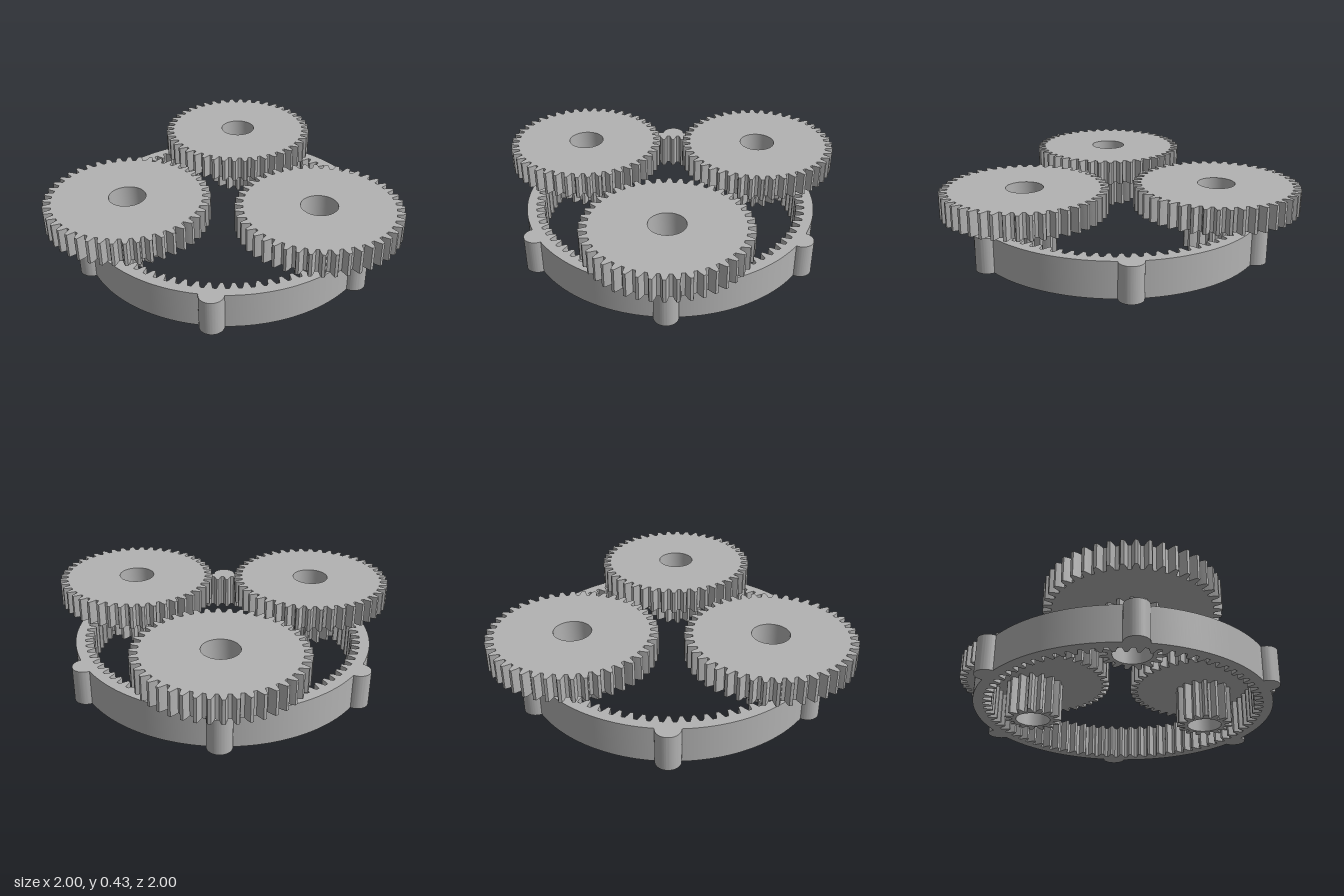
import * as THREE from 'three';
import { toCreasedNormals } from 'three/addons/utils/BufferGeometryUtils.js';

const RING_Z = -0.075;   // ring axis
const RING_R = 0.855;
const LUG_R = 0.068;
const ORBIT = 0.615;     // distance of the gear axes from the ring axis

// Closed toothed outline; steps are [fraction of a tooth pitch, radius].
function toothPoints(count, steps) {
  const pts = [];
  const pitch = (Math.PI * 2) / count;
  for (let i = 0; i < count; i++) {
    for (const [f, r] of steps) {
      const a = (i + f) * pitch;
      pts.push(new THREE.Vector2(Math.cos(a) * r, Math.sin(a) * r));
    }
  }
  return pts;
}

// Outward tooth centred on fraction 0, with curved flanks.
function externalTooth(root, tip) {
  const h = tip - root;
  const half = [[0.35, root], [0.29, root + h * 0.3], [0.23, root + h * 0.6], [0.12, tip]];
  return [...half.map(([f, r]) => [-f, r]), ...half.slice().reverse()];
}

// Extrude an outline upwards from y0 to y1.
function slab(shape, y0, y1, name, material) {
  let geo = new THREE.ExtrudeGeometry(shape, { depth: y1 - y0, bevelEnabled: false, curveSegments: 20 });
  geo.rotateX(-Math.PI / 2);
  geo.translate(0, y0, 0);
  geo = toCreasedNormals(geo, 0.35);
  const mesh = new THREE.Mesh(geo, material);
  mesh.name = name;
  return mesh;
}

function gearShape(count, root, tip, bore) {
  const shape = new THREE.Shape(toothPoints(count, externalTooth(root, tip)));
  shape.holes.push(new THREE.Path().absarc(0, 0, bore, 0, Math.PI * 2, true));
  return shape;
}

// Ring outline with six half-round lugs and internal teeth.
function ringShape() {
  const shape = new THREE.Shape();
  const d = 2 * Math.asin(LUG_R / (2 * RING_R));
  const sweep = Math.PI / 2 + d / 2;
  for (let k = 0; k < 6; k++) {
    const a = Math.PI / 6 + (k * Math.PI) / 3;
    shape.absarc(Math.cos(a) * RING_R, Math.sin(a) * RING_R, LUG_R, a - sweep, a + sweep, false);
    shape.absarc(0, 0, RING_R, a + d, a + Math.PI / 3 - d, false);
  }
  const inner = [[-0.36, 0.8], [-0.27, 0.783], [-0.21, 0.768], [-0.12, 0.752],
    [0.12, 0.752], [0.21, 0.768], [0.27, 0.783], [0.36, 0.8]];
  shape.holes.push(new THREE.Path(toothPoints(76, inner).reverse()));
  return shape;
}

export function createModel() {
  const model = new THREE.Group();
  model.name = 'planetaryGearSet';
  const grey = new THREE.MeshStandardMaterial({ color: 0xb2b2b2 });
  grey.name = 'grey';

  // Internally toothed ring
  const ring = slab(ringShape(), 0, 0.205, 'ringGear', grey);
  ring.position.z = RING_Z;
  model.add(ring);

  // Three stepped gears: small pinion inside the ring, large wheel above it
  ['frontGear', 'leftGear', 'rightGear'].forEach((name, i) => {
    const a = -Math.PI / 2 + (i * Math.PI * 2) / 3;
    const gear = new THREE.Group();
    gear.name = name;
    gear.add(slab(gearShape(15, 0.127, 0.173, 0.104), 0.055, 0.29, 'pinion', grey));
    gear.add(slab(gearShape(44, 0.419, 0.465, 0.104), 0.29, 0.427, 'largeWheel', grey));
    gear.position.set(Math.cos(a) * ORBIT, 0, RING_Z - Math.sin(a) * ORBIT);
    model.add(gear);
  });

  return model;
}
